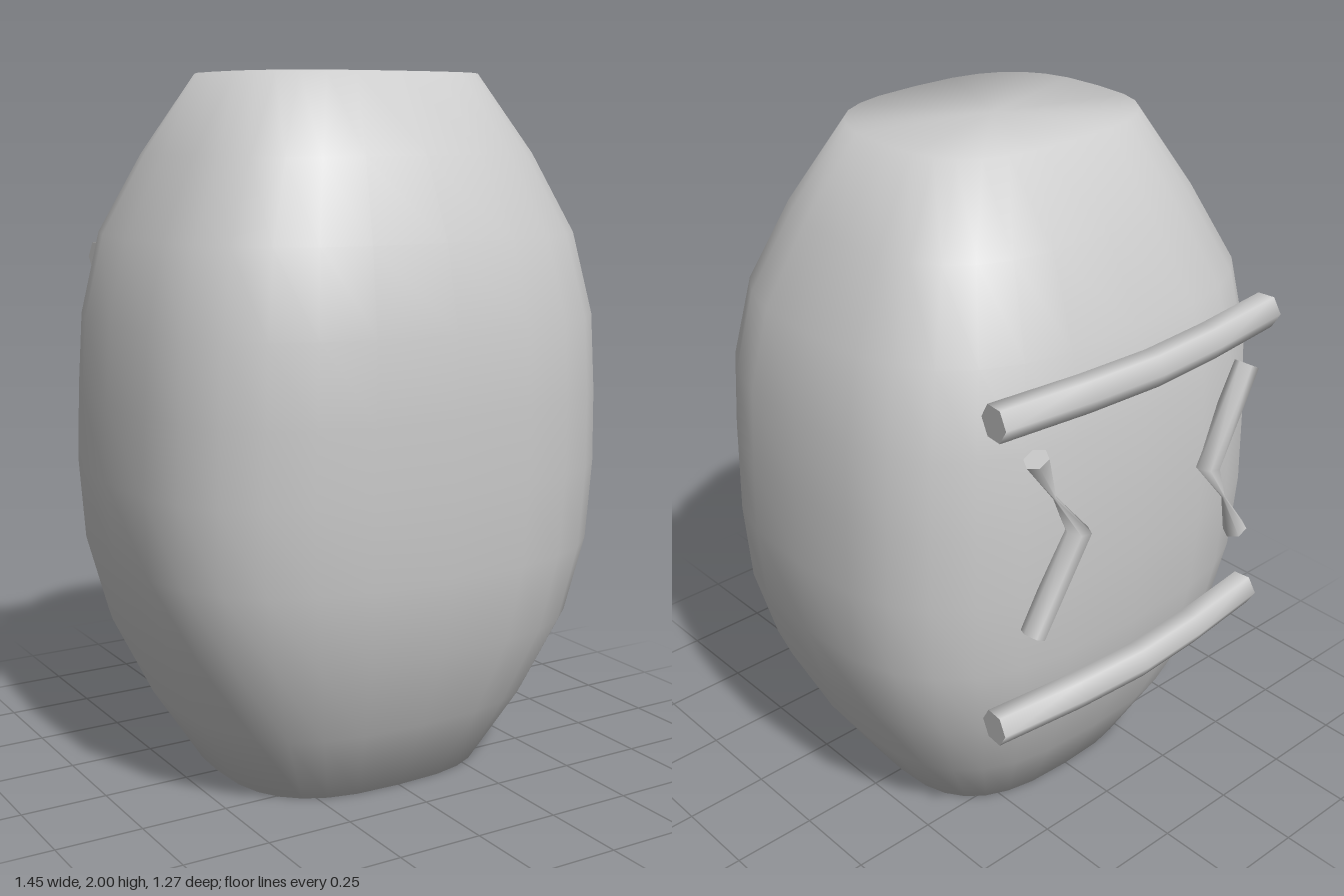
import * as THREE from 'three';

const material = new THREE.MeshStandardMaterial({ color: 0xcccccc });

// Skin a list of equal-length rings; caps share rim points when smoothCaps is set.
function loft(name, rings, smoothCaps) {
  const n = rings[0].length, pos = [], idx = [];
  const add = (p) => pos.push(p.x, p.y, p.z) / 3 - 1;
  rings.forEach((ring) => ring.forEach(add));
  for (let i = 0; i < rings.length - 1; i++) {
    for (let j = 0; j < n; j++) {
      const a = i * n + j, b = i * n + (j + 1) % n;
      idx.push(a, a + n, b + n, a, b + n, b);
    }
  }
  [0, rings.length - 1].forEach((i) => {
    const ring = rings[i];
    const centre = new THREE.Vector3();
    ring.forEach((p) => centre.addScaledVector(p, 1 / n));
    const c = add(centre);
    const rim = ring.map((p, j) => (smoothCaps ? i * n + j : add(p)));
    for (let j = 0; j < n; j++) {
      const k = (j + 1) % n;
      if (i === 0) idx.push(c, rim[j], rim[k]);
      else idx.push(c, rim[k], rim[j]);
    }
  });
  const geometry = new THREE.BufferGeometry();
  geometry.setAttribute('position', new THREE.Float32BufferAttribute(pos, 3));
  geometry.setIndex(idx);
  geometry.computeVertexNormals();
  const mesh = new THREE.Mesh(geometry, material);
  mesh.name = name;
  return mesh;
}

// Six-sided rod along a bent path, with a radius at each point [x, y, z, r].
function rod(name, path, side) {
  const pts = path.map((p) => new THREE.Vector3(p[0], p[1], p[2]));
  const rings = pts.map((p, i) => {
    const d = pts[Math.min(i + 1, pts.length - 1)].clone()
      .sub(pts[Math.max(i - 1, 0)]).normalize();
    const u = d.clone().cross(side).normalize();
    const v = u.clone().cross(d);
    return Array.from({ length: 6 }, (_, j) => {
      const a = j * Math.PI / 3, r = path[i][3];
      return p.clone().addScaledVector(u, r * Math.cos(a)).addScaledVector(v, r * Math.sin(a));
    });
  });
  return loft(name, rings, false);
}

export function createModel() {
  const model = new THREE.Group();
  model.name = 'barrelPack';

  // Body sections: height, half width, front depth, back depth
  const sections = [
    [0, 0.40, 0.36, 0.32], [0.22, 0.54, 0.48, 0.44], [0.45, 0.65, 0.575, 0.54],
    [0.67, 0.71, 0.612, 0.575], [0.9, 0.725, 0.625, 0.59], [1.11, 0.717, 0.63, 0.59],
    [1.33, 0.703, 0.622, 0.58], [1.56, 0.65, 0.57, 0.54], [1.78, 0.535, 0.47, 0.42],
    [2, 0.385, 0.34, 0.30],
  ];
  const round = (t) => Math.sign(t) * Math.pow(Math.abs(t), 2 / 2.8);
  const sides = 28;
  const rings = sections.map(([y, w, front, back]) =>
    Array.from({ length: sides }, (_, j) => {
      const a = j / sides * Math.PI * 2;
      const s = round(Math.sin(a));
      return new THREE.Vector3(w * round(Math.cos(a)), y, s * (s > 0 ? front : back));
    }));
  model.add(loft('body', rings, true));

  // Two bowed bars across the back
  const up = new THREE.Vector3(0, 1, 0);
  [['upperBar', 1.465], ['lowerBar', 0.545]].forEach(([name, y]) => {
    const path = [[-0.505, -0.55], [-0.23, -0.581], [0, -0.594], [0.23, -0.581], [0.505, -0.55]];
    model.add(rod(name, path.map(([x, z]) => [x, y, z, 0.051]), up));
  });

  // Pair of angled brackets, half-turn copies, each with one pinched arm
  const forward = new THREE.Vector3(0, 0, 1);
  [['leftBracket', 1], ['rightBracket', -1]].forEach(([name, s]) => {
    const path = [
      [0.40, -0.265, -0.585, 0.035], [0.25, 0, -0.592, 0.038],
      [0.335, 0.13, -0.59, 0.005], [0.40, 0.265, -0.59, 0.035],
    ];
    model.add(rod(name, path.map(([x, y, z, r]) => [s * x, 1.08 + s * y, z, r]), forward));
  });

  return model;
}
